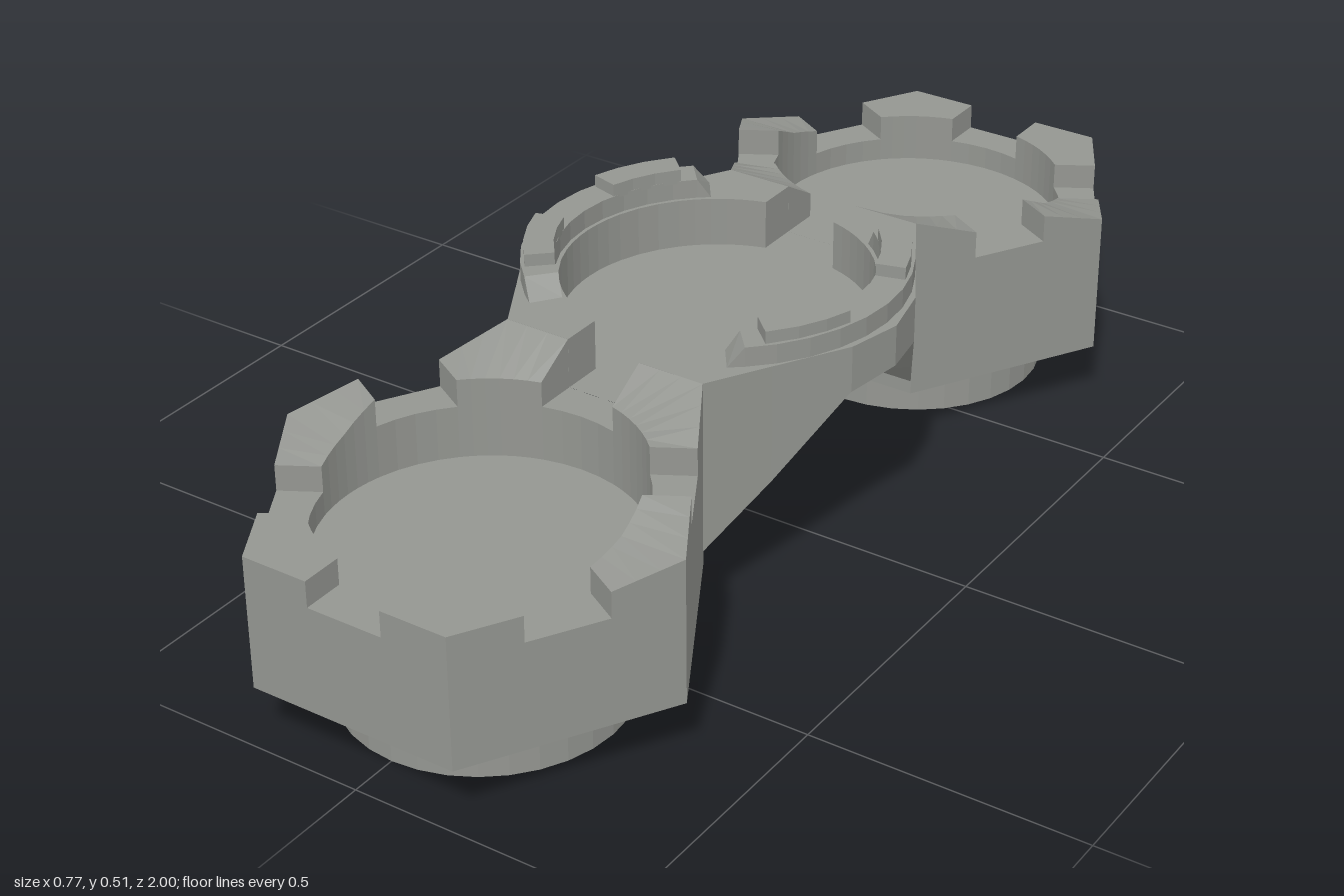
import * as THREE from 'three';

const grey = new THREE.MeshStandardMaterial({ color: 0x949691 });
const RAD = Math.PI / 180;
const HEX = 0.385, EDGE = 0.3333, POCKET = 0.268, NOTCH = 0.07, FLOOR = 0.265;

const polar = (r, deg) => [r * Math.cos(deg * RAD), r * Math.sin(deg * RAD)];
const mix = (a, b, t) => [a[0] + (b[0] - a[0]) * t, a[1] + (b[1] - a[1]) * t];

function add(parent, name, geometry) {
  const g = geometry.index ? geometry.toNonIndexed() : geometry;
  g.computeVertexNormals();
  const mesh = new THREE.Mesh(g, grey);
  mesh.name = name;
  parent.add(mesh);
}

function fromQuads(quads) {
  const pos = [];
  for (const [a, b, c, d] of quads) pos.push(...a, ...b, ...c, ...a, ...c, ...d);
  const g = new THREE.BufferGeometry();
  g.setAttribute('position', new THREE.Float32BufferAttribute(pos, 3));
  return g;
}

// Closed wall between an inner and an outer line of [x, z] points;
// bottom(x) and top(i, isOuter) give its heights
function wall(inner, outer, bottom, top) {
  const low = p => [p[0], bottom(p[0]), p[1]];
  const q = [], n = inner.length - 1;
  for (let i = 0; i < n; i++) {
    const j = i + 1;
    const high = (line, k) => [line[k][0], top(k, line === outer), line[k][1]];
    const a = low(inner[i]), b = low(inner[j]), c = low(outer[i]), d = low(outer[j]);
    const A = high(inner, i), B = high(inner, j), C = high(outer, i), D = high(outer, j);
    q.push([A, B, D, C], [c, C, D, d], [a, b, B, A], [a, c, d, b]);
    if (i === 0) q.push([a, A, C, c]);
    if (j === n) q.push([b, d, D, B]);
  }
  return fromQuads(q);
}

// Post heights at start, corner and end, rising from the outer end towards the bridge
const LOW = [0.355, 0.355, 0.355], HIGH = [0.41, 0.41, 0.41];
const POSTS = [
  { inner: [0.41, 0.376, 0.355], outer: [0.41, 0.376, 0.355] },
  { inner: LOW, outer: LOW },
  { inner: LOW, outer: LOW },
  { inner: [0.355, 0.376, 0.41], outer: [0.355, 0.376, 0.41] },
  { inner: HIGH, outer: [0.41, 0.455, 0.455] },
  { inner: HIGH, outer: [0.455, 0.455, 0.41] },
];
const SILLS = [0.308, 0.308, 0.308, 0.36, 0.365, 0.36];

function endSocket(name) {
  const group = new THREE.Group();
  group.name = name;
  add(group, 'peg', new THREE.CylinderGeometry(0.246, 0.246, 0.117, 32).translate(0, 0.0585, 0));
  const h = FLOOR - 0.115;
  add(group, 'hexBase', new THREE.CylinderGeometry(HEX, HEX, h, 6).rotateY(Math.PI / 2).translate(0, 0.115 + h / 2, 0));

  const half = Math.asin(NOTCH / POCKET) / RAD; // half angle of a notch at the pocket
  const share = NOTCH / HEX;                    // half width of a notch along an edge
  for (let k = 0; k < 6; k++) {
    const corner = polar(HEX, k * 60), next = polar(HEX, k * 60 + 60), prev = polar(HEX, k * 60 - 60);
    // Corner post
    const start = mix(corner, prev, 0.5 - share), end = mix(corner, next, 0.5 - share);
    const inner = [], outer = [];
    for (let i = 0; i <= 6; i++) {
      inner.push(polar(POCKET, k * 60 + (30 - half) * (i / 3 - 1)));
      outer.push(i < 3 ? mix(start, corner, i / 3) : mix(corner, end, (i - 3) / 3));
    }
    const postTop = (i, isOuter) => {
      const [a, b, c] = isOuter ? POSTS[k].outer : POSTS[k].inner;
      return i < 3 ? a + (b - a) * i / 3 : b + (c - b) * (i - 3) / 3;
    };
    add(group, 'cornerPost', wall(inner, outer, () => FLOOR, postTop));

    // Notch sill in the middle of the next edge
    const sillIn = [], sillOut = [];
    for (let i = 0; i <= 4; i++) {
      sillIn.push(polar(POCKET, k * 60 + 30 + half * (i / 2 - 1)));
      sillOut.push(mix(corner, next, 0.5 + share * (i / 2 - 1)));
    }
    add(group, 'notchSill', wall(sillIn, sillOut, () => FLOOR, () => SILLS[k]));
  }
  return group;
}

function bridge() {
  const group = new THREE.Group();
  group.name = 'bridge';
  // Arched body: z, underside half width, arch height, outer half width, lower end of the side
  const half = [[0.333, 0.192, 0.14, 0.192, 0.14], [0.225, 0.25, 0.24, 0.254, 0.24],
    [0.1, 0.242, 0.288, 0.327, 0.372], [0, 0.238, 0.305, 0.35, 0.38]];
  const sections = [...half.map(s => [-s[0], ...s.slice(1)]), ...half.slice(0, 3).reverse()];
  const TOP = 0.365;
  const loops = sections.map(([z, lo, arch, out, side]) => {
    const rim = Math.max(side, TOP), inX = Math.min(out, 0.27);
    return [[-lo, arch, z], [lo, arch, z], [out, side, z], [out, rim, z], [inX, TOP, z],
      [-inX, TOP, z], [-out, rim, z], [-out, side, z]];
  });
  const quads = [];
  for (let i = 0; i < loops.length - 1; i++) {
    for (let j = 0; j < 8; j++) {
      const k = (j + 1) % 8;
      quads.push([loops[i][j], loops[i][k], loops[i + 1][k], loops[i + 1][j]]);
    }
  }
  add(group, 'archedBody', fromQuads(quads));

  // Side walls around the middle pocket, with a stepped ring on top
  const keys = [[0.07, -0.333, -74.9], [0.192, -0.333, -60], [0.254, -0.225, -42], [0.327, -0.1, -17], [0.35, 0, 0],
    [0.327, 0.1, 17], [0.254, 0.225, 42], [0.192, 0.333, 60], [0.07, 0.333, 74.9]];
  const inner = [], outer = [];
  for (let i = 0; i < keys.length - 1; i++) {
    const a = keys[i], b = keys[i + 1];
    for (let s = i ? 1 : 0; s <= 3; s++) {
      inner.push(polar(POCKET, a[2] + (b[2] - a[2]) * s / 3));
      outer.push(mix(a, b, s / 3));
    }
  }
  const arc = (r, list) => list.map(d => polar(r, d));
  const ring = [-54, -49, -40, -30, -20, -10, 0, 10, 20, 30, 40, 49, 54];
  for (const turn of [0, Math.PI]) {
    const side = new THREE.Group();
    side.name = turn ? 'rightWall' : 'leftWall';
    side.rotation.y = turn;
    add(side, 'pocketWall', wall(inner, outer, x => 0.36 + Math.max(0, x - 0.3) * 0.4, () => 0.455));
    add(side, 'ringStep', wall(arc(0.275, ring), arc(0.332, ring), () => 0.45,
      i => (i === 0 || i === ring.length - 1 ? 0.455 : 0.49)));
    for (const dir of [-1, 1]) {
      const list = [15.5, 24, 33, 43].map(d => d * dir).sort((a, b) => a - b);
      add(side, 'ringTooth', wall(arc(0.275, list), arc(0.326, list), () => 0.485, () => 0.512));
    }
    group.add(side);
  }
  return group;
}

export function createModel() {
  const model = new THREE.Group();
  model.name = 'hexBridge';
  const front = endSocket('frontSocket');
  front.position.z = 1 - EDGE;
  const back = endSocket('backSocket');
  back.position.z = EDGE - 1;
  back.rotation.y = Math.PI;
  model.add(front, back, bridge());
  return model;
}
